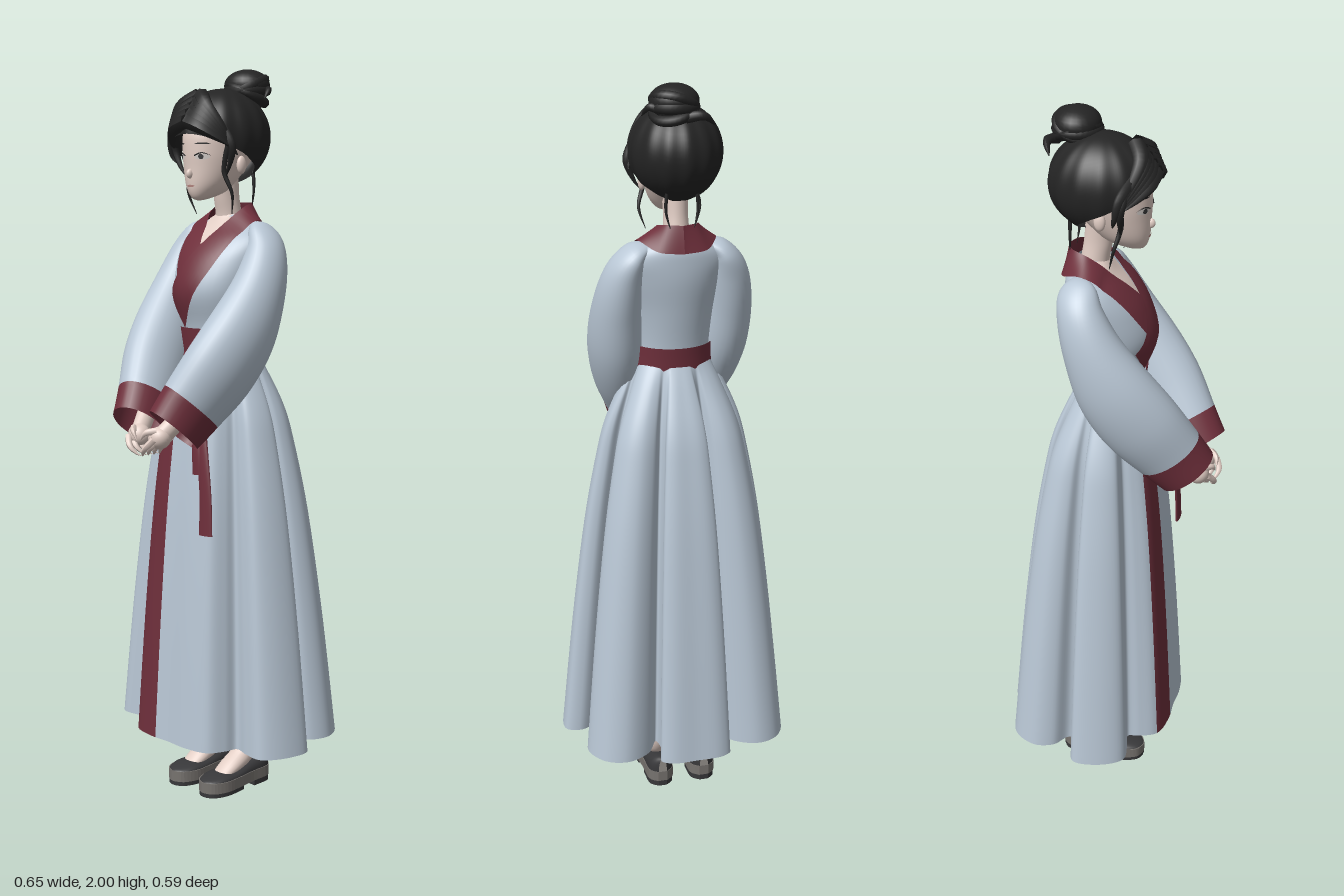
import * as THREE from 'three';
import { mergeVertices } from 'three/addons/utils/BufferGeometryUtils.js';

const paint = (name, color) => {
  const m = new THREE.MeshStandardMaterial({ color, side: THREE.DoubleSide });
  m.name = name;
  return m;
};
const { sin, cos, PI, max, min, sqrt } = Math;
const clamp = THREE.MathUtils.clamp, lerp = THREE.MathUtils.lerp;

// Smooth interpolation through rows of numbers
function sample(rows, v) {
  const n = rows.length, t = clamp(v, 0, 1) * (n - 1), i = min(Math.floor(t), n - 2), f = t - i;
  const p = k => rows[clamp(k, 0, n - 1)];
  return rows[0].map((_, k) => {
    const a = p(i - 1)[k], b = p(i)[k], c = p(i + 1)[k], d = p(i + 2)[k];
    return b + 0.5 * f * (c - a + f * (2 * a - 5 * b + 4 * c - d + f * (3 * (b - c) + d - a)));
  });
}

// Grid surface from a rule (u, v) -> [x, y, z]
function surface(fn, nu, nv) {
  const pos = [], idx = [];
  for (let j = 0; j <= nv; j++) for (let i = 0; i <= nu; i++) pos.push(...fn(i / nu, j / nv));
  for (let j = 0; j < nv; j++) for (let i = 0; i < nu; i++) {
    const a = j * (nu + 1) + i, b = a + 1, c = a + nu + 1, d = c + 1;
    idx.push(a, b, d, a, d, c);
  }
  let g = new THREE.BufferGeometry();
  g.setAttribute('position', new THREE.Float32BufferAttribute(pos, 3));
  g.setIndex(idx);
  g = mergeVertices(g, 1e-5);
  g.computeVertexNormals();
  return g;
}

// Upright body from rows [y, half width, front z, back z]
const body = (rows, nu = 40, nv = 36) => surface((u, v) => {
  const [y, rx, zf, zb] = sample(rows, v), a = u * 2 * PI;
  return [rx * sin(a), y, (zf + zb) / 2 + (zf - zb) / 2 * cos(a)];
}, nu, nv);

// Front depth of such a body at (x, y)
function frontZ(rows, x, y) {
  let lo = 0, hi = 1;
  for (let k = 0; k < 22; k++) { const m = (lo + hi) / 2; if (sample(rows, m)[0] < y) lo = m; else hi = m; }
  const [, rx, zf, zb] = sample(rows, lo);
  return (zf + zb) / 2 + (zf - zb) / 2 * sqrt(max(0, 1 - (x / rx) ** 2));
}

// Sweep of ellipses from rows [x, y, z, side radius, other radius]
const sweep = (rows, v0 = 0, v1 = 1, nu = 24, nv = 24) => surface((u, w) => {
  const v = lerp(v0, v1, w), r = sample(rows, v), p = new THREE.Vector3(...r);
  const T = new THREE.Vector3(...sample(rows, v + 0.01)).sub(new THREE.Vector3(...sample(rows, v - 0.01))).normalize();
  const S = new THREE.Vector3(1, 0, 0).addScaledVector(T, -T.x).normalize();
  const O = T.clone().cross(S), a = u * 2 * PI;
  return p.addScaledVector(S, r[3] * cos(a)).addScaledVector(O, r[4] * sin(a)).toArray();
}, nu, nv);

// Tapered hair lock along points
function lock(points, r) {
  const curve = new THREE.CatmullRomCurve3(points.map(p => new THREE.Vector3(...p)));
  const g = new THREE.TubeGeometry(curve, 18, r, 7), P = g.attributes.position, q = new THREE.Vector3();
  for (let k = 0; k < P.count; k++) {
    const t = Math.floor(k / 8) / 18;
    q.fromBufferAttribute(P, k).lerp(curve.getPointAt(t), 0.92 * t * t);
    P.setXYZ(k, q.x, q.y, q.z);
  }
  g.computeVertexNormals();
  return g;
}

const TORSO = [[1.24, .1, .06, -.09], [1.32, .102, .075, -.098], [1.41, .118, .1, -.112], [1.49, .135, .075, -.125],
  [1.545, .14, .035, -.128], [1.58, .11, 0, -.125], [1.605, .06, -.02, -.11], [1.62, .03, -.03, -.1]];
const HEAD = [[1.652, .004, .062, .05], [1.658, .022, .075, .02], [1.675, .042, .084, -.03], [1.7, .058, .088, -.06],
  [1.74, .073, .09, -.1], [1.78, .082, .092, -.13], [1.83, .085, .088, -.14], [1.88, .07, .06, -.12], [1.92, .03, 0, -.07]];
const NECK = [[1.54, .045, -.01, -.1], [1.6, .036, -.02, -.095], [1.66, .032, -.01, -.085], [1.72, .035, 0, -.08]];
const SLEEVE = [[.066, 1.055, .215, .066, .088], [.085, 1.115, .168, .07, .1], [.12, 1.21, .1, .078, .112],
  [.142, 1.31, .035, .078, .105], [.15, 1.42, -.02, .066, .08], [.14, 1.51, -.055, .052, .062],
  [.115, 1.565, -.07, .03, .05], [.08, 1.585, -.075, .01, .02]];
// Half hem outline: x, z, matching waist angle
const HEM = [[0, .18, 0], [.07, .182, 18], [.14, .165, 38], [.165, .12, 52], [.175, .085, 60], [.22, .095, 66], [.275, .098, 74],
  [.315, .04, 84], [.322, -.04, 94], [.28, -.055, 100], [.225, -.03, 104], [.225, -.08, 109], [.27, -.115, 114], [.285, -.17, 122],
  [.25, -.235, 132], [.19, -.255, 142], [.125, -.225, 151], [.09, -.17, 156], [.085, -.22, 162], [.1, -.275, 167], [.07, -.295, 173], [0, -.297, 180]];
const DROP = [[.17, 1], [.5, .84], [.8, .66], [1, .49], [1.1, .37], [1.2, .17], [1.27, 0]];
const SHOE = [[-.143, .012, .088], [-.12, .034, .09], [-.06, .037, .075], [0, .043, .062], [.05, .045, .06], [.09, .03, .052], [.105, .004, .045]];

export function createModel() {
  const cloth = paint('pale blue cloth', 0xb9c7d5), red = paint('wine red trim', 0x6e2f3b), hair = paint('black hair', 0x242424);
  const skin = paint('skin', 0xe2cec5), dark = paint('dark shoe', 0x38383a), grey = paint('grey shoe side', 0x77736f);
  const white = paint('eye white', 0xd6d0cc), lip = paint('lip', 0xb98a84);
  const model = new THREE.Group();
  const add = (name, geo, mat, parent = model) => {
    const m = new THREE.Mesh(geo, mat);
    m.name = name;
    parent.add(m);
    return m;
  };
  const ball = (name, mat, [x, y, z], [a, b, c], parent) => {
    const m = add(name, new THREE.SphereGeometry(1, 24, 16), mat, parent);
    m.position.set(x, y, z);
    m.scale.set(a, b, c);
    return m;
  };
  const pair = (name, build) => [1, -1].forEach(s => {
    const g = new THREE.Group();
    g.name = (s > 0 ? 'left ' : 'right ') + name;
    g.scale.x = s;
    build(g);
    model.add(g);
  });

  // Pleated skirt with a red front stripe
  const loop = HEM.concat(HEM.slice(1, -1).reverse().map(([x, z, d]) => [-x, z, 360 - d]));
  const closed = f => new THREE.CatmullRomCurve3(loop.map(f), true);
  const hem = closed(([x, z]) => new THREE.Vector3(x, 0, z));
  const waist = closed(([, , d]) => new THREE.Vector3(.102 * sin(d * PI / 180), 0, -.013 + .08 * cos(d * PI / 180)));
  const N = loop.length;
  const panel = (k0, k1, nu) => surface((u, v) => {
    const t = (lerp(k0, k1, u) / N) % 1, [y, f] = sample(DROP, v);
    const p = waist.getPoint(t).lerp(hem.getPoint(t), f);
    return [p.x, y, p.z];
  }, nu, 30);
  add('skirt', panel(0, N - 2, 240), cloth);
  add('skirt stripe', panel(N - 2, N - .7, 10), red);
  add('skirt front edge', panel(N - .7, N, 6), cloth);

  // Bodice, belt and hanging ties
  add('bodice', body(TORSO), cloth);
  add('belt', body([[1.245, .108, .075, -.098], [1.28, .108, .08, -.1], [1.312, .108, .084, -.103]], 40, 6), red);
  add('long tie', sweep([[.122, .77, .152, .025, .006], [.118, .87, .148, .022, .006], [.1, .98, .14, .02, .007], [.075, 1.1, .125, .015, .008]]), red);
  add('short tie', sweep([[.085, .93, .146, .018, .005], [.078, 1, .142, .016, .006], [.065, 1.1, .125, .014, .008]]), red);

  // Crossed collar and bare throat
  const inner = [[0, 1.645, -.125], [.04, 1.645, -.105], [.055, 1.635, -.06], [.04, 1.6, -.015], [0, 1.53, .03], [-.085, 1.39, .05]];
  const outer = [[0, 1.575, -.14], [.065, 1.58, -.125], [.105, 1.6, -.065], [.1, 1.57, -.01], [.06, 1.46, .04], [-.03, 1.31, .05]];
  const band = (end, off, s) => surface((u, v) => {
    const a = sample(inner, v * end), b = sample(outer, v * end);
    const [x, y, z] = a.map((q, k) => lerp(q, b[k], u));
    return [s * x, y, z > -.06 ? max(z, frontZ(TORSO, x, y) + off) : z];
  }, 8, 40);
  add('collar upper band', band(1, .011, 1), red);
  add('collar under band', band(.83, .006, -1), red);
  add('throat', surface((u, v) => {
    const y = lerp(1.51, 1.615, v), x = (u - .5) * (.01 + .09 * v);
    return [x, y, frontZ(TORSO, x, y) + .004];
  }, 8, 10), skin);

  // Sleeves, cuffs and folded hands
  pair('arm', g => {
    add('sleeve', sweep(SLEEVE, 1 / 7, 1, 32, 40), cloth, g);
    add('cuff', sweep(SLEEVE, 0, 1 / 7, 32, 8), red, g);
    add('forearm', sweep([[.045, 1.04, .235, .022, .026], [.075, 1.11, .17, .025, .027], [.11, 1.2, .1, .03, .03]]), skin, g);
    ball('palm', skin, [.04, 1.035, .24], [.032, .03, .03], g).rotation.z = .5;
    for (let k = 0; k < 4; k++) {
      const z = .275 - k * .02;
      add('finger', lock([[.05, 1.035, z - .005], [.03, 1.01, z + .008], [.012, .992, z], [.002, .985, z - .008]], .0095), skin, g);
    }
    add('thumb', lock([[.045, 1.055, .255], [.025, 1.05, .275], [.008, 1.03, .28]], .01), skin, g);
  });

  // Legs and slip-on shoes
  const plate = (v0, v1, y0, y1, grow) => {
    const side = Array.from({ length: 25 }, (_, k) => sample(SHOE, lerp(v0, v1, k / 24)));
    const pts = side.map(([z, w]) => new THREE.Vector2(w + grow, z)).concat(side.reverse().map(([z, w]) => new THREE.Vector2(-w - grow, z)));
    return new THREE.ExtrudeGeometry(new THREE.Shape(pts), { depth: y1 - y0, bevelEnabled: false }).rotateX(PI / 2).translate(0, y1, 0);
  };
  pair('leg', g => {
    const foot = new THREE.Group();
    foot.name = 'foot';
    foot.position.x = .062;
    g.add(foot);
    add('leg', sweep([[0, .045, .045, .026, .012], [0, .066, 0, .032, .022], [0, .09, -.05, .031, .03], [0, .13, -.09, .028, .032],
      [0, .2, -.1, .028, .036], [0, .4, -.08, .04, .045], [0, .7, -.04, .055, .055]]), skin, foot);
    add('shoe upper', surface((u, v) => {
      const [z, w, top] = sample(SHOE, 1 - v), a = (u - .5) * PI;
      return [-w * sin(a), .04 + (top - .04) * cos(a) ** .7, z];
    }, 20, 24), dark, foot);
    add('shoe side', plate(0, 1, .016, .046, .002), grey, foot);
    add('heel', plate(0, .32, 0, .016, 0), dark, foot);
    add('sole', plate(.45, .97, .004, .016, 0), dark, foot);
  });

  // Neck, head and face
  add('neck', body(NECK), skin);
  add('head', body(HEAD), skin);
  ball('nose', skin, [0, 1.722, .089], [.008, .013, .012]);
  const decal = (x, y, w, h, off) => surface((u, v) => {
    const a = -u * 2 * PI, px = x + w * v * cos(a), py = y + h * v * sin(a);
    return [px, py, frontZ(HEAD, px, py) + off];
  }, 20, 3);
  pair('face side', g => {
    add('eye', decal(.036, 1.766, .017, .008, .002), white, g);
    add('iris', decal(.035, 1.766, .006, .007, .003), dark, g);
    add('eyelash', lock([[.018, 1.769], [.036, 1.776], [.055, 1.769]].map(([x, y]) => [x, y, frontZ(HEAD, x, y) + .002]), .0018), hair, g);
    add('eyebrow', decal(.037, 1.8, .018, .002, .002), hair, g);
    ball('ear', skin, [.083, 1.745, -.02], [.01, .024, .015], g);
  });
  add('mouth', decal(0, 1.69, .014, .003, .002), lip);

  // Gathered hair with clumped ridges
  add('hair cap', surface((u, v) => {
    const a = u * 2 * PI, t = Math.acos(clamp((1.76 + .065 * cos(a) - 1.82) / .125, -.96, 1)) * (1 - v);
    const r = 1 + .014 * cos(14 * a) * sin(t);
    return [-.003 + .12 * r * sin(t) * sin(a), 1.82 + .127 * cos(t), -.035 + .138 * r * sin(t) * cos(a)];
  }, 112, 24), hair);
  pair('fringe', g => {
    for (let k = 0; k < 5; k++) add('fringe lock', lock([[.002, 1.925 - k * .017, .05 + k * .012], [.045, 1.895 - k * .013, .074 + k * .006],
      [.085, 1.84 - k * .006, .058 + k * .004], [.108, 1.77 + k * .006, .02 + k * .008]], .022), hair, g);
    add('temple lock', lock([[.085, 1.84, .05], [.108, 1.79, .04], [.092, 1.74, .035], [.075, 1.715, .03]], .013), hair, g);
    add('loose lock', lock([[.085, 1.8, .03], [.068, 1.73, .03], [.083, 1.67, .015], [.068, 1.615, 0]], .008), hair, g);
    add('nape wisp', lock([[.04, 1.73, -.11], [.042, 1.68, -.11], [.03, 1.63, -.115]], .005), hair, g);
  });
  add('swept curl', lock([[-.07, 1.86, .06], [-.125, 1.82, .04], [-.132, 1.77, .03], [-.11, 1.745, .02]], .014), hair);

  // Top bun
  ball('bun', hair, [.02, 1.957, -.105], [.064, .043, .06]);
  for (let k = 0; k < 3; k++) {
    const ring = add('bun wrap', new THREE.TorusGeometry(.052, .014, 8, 32), hair);
    ring.position.set(.02, 1.935 + k * .008, -.105);
    ring.rotation.set(PI / 2 + .35 * (k - 1), .3 * (k - 1), 0);
  }
  add('bun loose end', lock([[.05, 1.93, -.13], [.085, 1.945, -.12], [.1, 1.92, -.09]], .012), hair);
  add('bun back end', lock([[0, 1.92, -.15], [-.04, 1.925, -.165], [-.075, 1.9, -.15]], .014), hair);
  return model;
}
